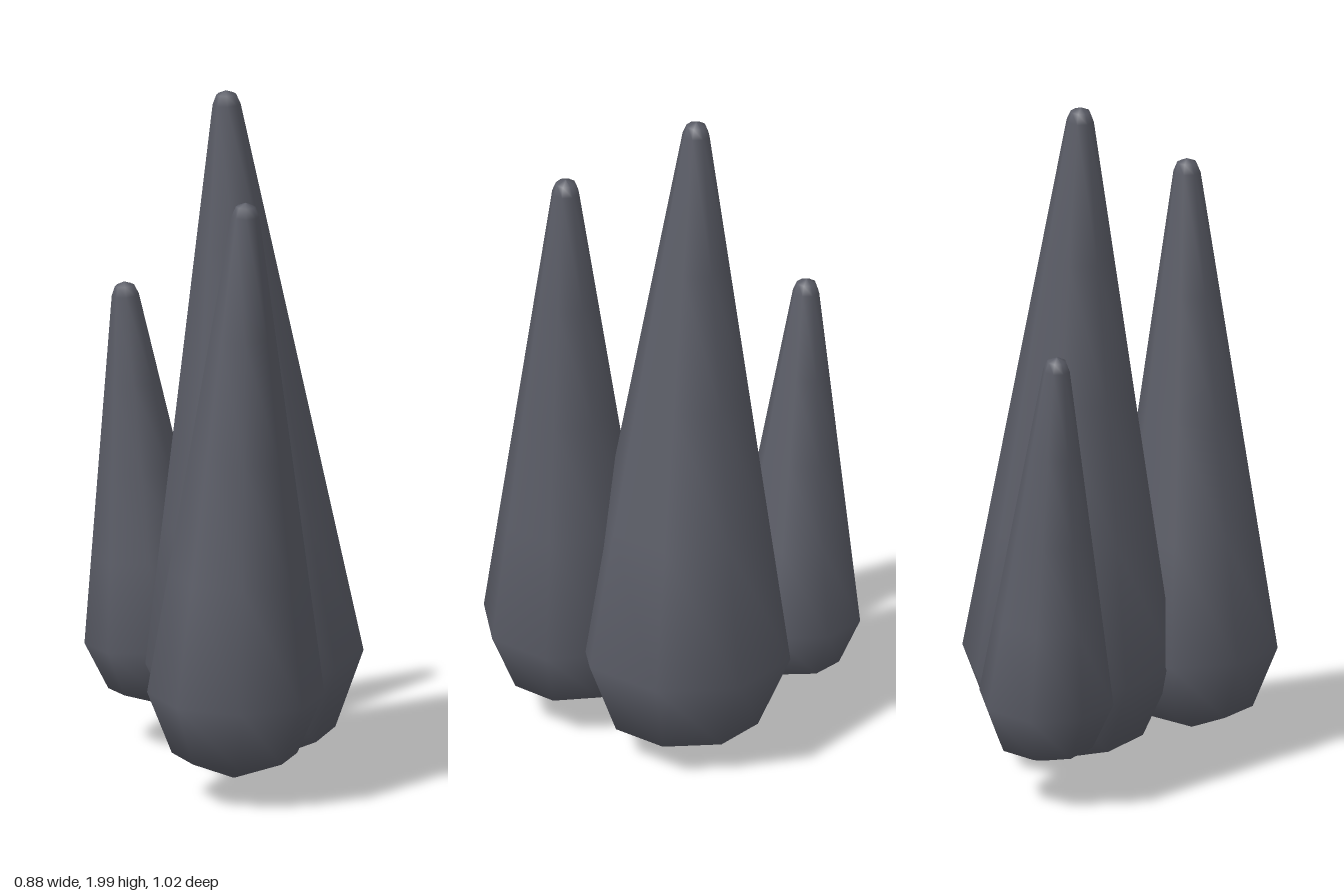
import * as THREE from 'three';

const slate = new THREE.MeshStandardMaterial({ color: 0x5a5c66 });
slate.name = 'slate grey';

// Eight-sided tapered spike: round base, straight taper, small round tip.
// base and tip are the centres of the two rounded ends.
function makeSpike(name, base, baseRadius, tip, tipRadius) {
  const from = new THREE.Vector3(...base);
  const axis = new THREE.Vector3(...tip).sub(from);
  const length = axis.length();
  const profile = [];

  // Lower dome, from the bottom point to the widest ring
  for (const a of [-Math.PI / 2, -Math.PI / 4, 0]) {
    profile.push(new THREE.Vector2(Math.max(0, baseRadius * Math.cos(a)), baseRadius * Math.sin(a)));
  }
  // Straight taper
  for (const t of [0.25, 0.5, 0.75]) {
    profile.push(new THREE.Vector2(THREE.MathUtils.lerp(baseRadius, tipRadius, t), length * t));
  }
  // Tip dome
  for (const a of [0, Math.PI / 4, Math.PI / 2]) {
    profile.push(new THREE.Vector2(a > 1.5 ? 0 : tipRadius * Math.cos(a), length + tipRadius * Math.sin(a)));
  }

  const mesh = new THREE.Mesh(new THREE.LatheGeometry(profile, 8), slate);
  mesh.name = name;
  mesh.position.copy(from);
  mesh.quaternion.setFromUnitVectors(new THREE.Vector3(0, 1, 0), axis.normalize());
  return mesh;
}

export function createModel() {
  const group = new THREE.Group();
  group.name = 'spikeCluster';
  group.add(
    makeSpike('tallSpike', [0.125, 0.322, 0.052], 0.313, [0.077, 1.96, -0.012], 0.04),
    makeSpike('frontSpike', [-0.186, 0.318, 0.255], 0.254, [-0.169, 1.73, 0.277], 0.04),
    makeSpike('backSpike', [0.105, 0.318, -0.317], 0.197, [0.06, 1.33, -0.383], 0.039)
  );
  return group;
}
